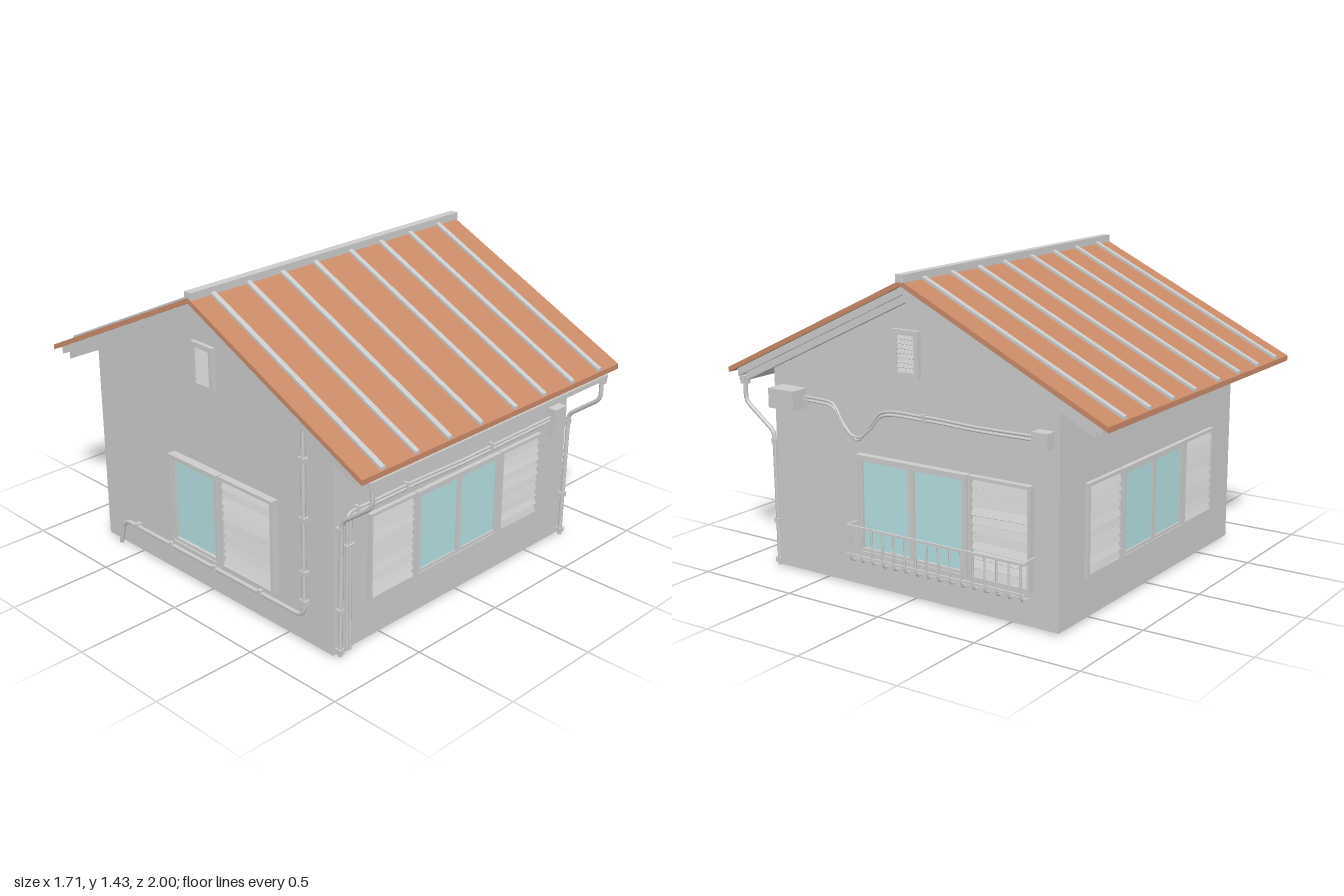
import * as THREE from 'three';

const mat = (color) => new THREE.MeshStandardMaterial({ color, side: THREE.DoubleSide });
const grey = mat(0xcccccc), copper = mat(0xc98a68), glass = mat(0xb4dfe2);
const WALL = { left: -0.785, right: 0.75, front: 0.775, back: -0.745 };
const APEX = 1.41, SLOPE = 0.48;

let seed = 7;
const jitter = (a) => {
  seed = (seed * 16807) % 2147483647;
  return (seed / 2147483647 - 0.5) * 2 * a;
};

function add(parent, name, geo, material = grey) {
  const m = new THREE.Mesh(geo, material);
  m.name = name;
  parent.add(m);
  return m;
}

function box(parent, name, w, h, d, x, y, z, material) {
  const m = add(parent, name, new THREE.BoxGeometry(w, h, d), material);
  m.position.set(x, y, z);
  return m;
}

// Extrudes a (z, y) outline along x
function alongX(points, x0, x1) {
  const shape = new THREE.Shape(points.map(([z, y]) => new THREE.Vector2(-z, y)));
  const geo = new THREE.ExtrudeGeometry(shape, { depth: x1 - x0, bevelEnabled: false });
  return geo.rotateY(Math.PI / 2).translate(x0, 0, 0);
}

// Bent roof layer whose top lies at an offset from the roof plane
function roofLayer(offset, thick, reach, x0, x1) {
  const top = APEX + offset, eave = top - SLOPE * reach;
  return alongX([[reach, eave], [0, top], [-reach, eave],
    [-reach, eave - thick], [0, top - thick], [reach, eave - thick]], x0, x1);
}

// Tube through points: rounded corners, or a free curve when bend is 0
function pipe(parent, name, pts, r, bend = 0.03) {
  const p = pts.map((a) => new THREE.Vector3(...a));
  let path;
  if (bend === 0) path = new THREE.CatmullRomCurve3(p);
  else {
    path = new THREE.CurvePath();
    let from = p[0];
    for (let i = 1; i < p.length - 1; i++) {
      const a = p[i].clone().add(p[i - 1].clone().sub(p[i]).setLength(bend));
      const b = p[i].clone().add(p[i + 1].clone().sub(p[i]).setLength(bend));
      path.add(new THREE.LineCurve3(from, a));
      path.add(new THREE.QuadraticBezierCurve3(a, p[i], b));
      from = b;
    }
    path.add(new THREE.LineCurve3(from, p[p.length - 1]));
  }
  const steps = Math.max(4, Math.ceil(path.getLength() / 0.015));
  return add(parent, name, new THREE.TubeGeometry(path, steps, r, 8, false));
}

// Rectangular frame between u0..u1 and v0..v1, standing out from the wall
function frame(parent, name, u0, u1, v0, v1, t, depth) {
  const rect = (P, a, b, c, d) => new P([[a, c], [b, c], [b, d], [a, d]].map((q) => new THREE.Vector2(...q)));
  const s = rect(THREE.Shape, u0, u1, v0, v1);
  s.holes.push(rect(THREE.Path, u0 + t, u1 - t, v0 + t, v1 - t));
  add(parent, name, new THREE.ExtrudeGeometry(s, { depth, bevelEnabled: false }));
}

function louvers(parent, name, u0, u1, v0, v1, t, count, depth, skew) {
  const g = new THREE.Group();
  g.name = name;
  parent.add(g);
  frame(g, 'louverFrame', u0, u1, v0, v1, t, depth);
  const pitch = (v1 - v0 - 2 * t) / count;
  for (let i = 0; i < count; i++) {
    const s = box(g, 'slat', u1 - u0 - 2 * t, pitch * 1.05, 0.005,
      (u0 + u1) / 2, v0 + t + pitch * (i + 0.5), depth * 0.5);
    s.rotation.set(-0.45 + jitter(skew * 4), 0, jitter(skew));
  }
}

function windowUnit(parent, u0, u1, v0, v1, panes, depth) {
  const g = new THREE.Group();
  g.name = 'window';
  parent.add(g);
  frame(g, 'windowFrame', u0, u1, v0, v1, 0.014, depth);
  const a = u0 + 0.014, w = (u1 - u0 - 0.028) / panes;
  for (let i = 0; i < panes; i++) {
    const l = a + w * i;
    frame(g, 'sash', l, l + w, v0 + 0.014, v1 - 0.014, 0.014, depth * 0.8);
    box(g, 'pane', w - 0.02, v1 - v0 - 0.05, 0.006, l + w / 2, (v0 + v1) / 2, depth * 0.35, glass);
  }
}

// Group whose local +z points out of a wall
function wallSide(root, name, angle, x, z) {
  const g = new THREE.Group();
  g.name = name;
  g.rotation.y = angle;
  g.position.set(x, 0, z);
  root.add(g);
  return g;
}

export function createModel() {
  const root = new THREE.Group();
  root.name = 'house';

  // Walls with gables
  const under = (z) => APEX - 0.075 - SLOPE * Math.abs(z);
  add(root, 'walls', alongX([[WALL.front, 0.012], [WALL.front, under(WALL.front)], [0, under(0)],
    [WALL.back, under(WALL.back)], [WALL.back, 0.012]], WALL.left, WALL.right));

  // Roof: metal skin, two stepped boards, standing seams and ridge cap
  add(root, 'roofSkin', roofLayer(0, 0.024, 1, -0.855, 0.81), copper);
  add(root, 'upperBoard', roofLayer(-0.024, 0.036, 0.96, -0.835, 0.793));
  add(root, 'lowerBoard', roofLayer(-0.06, 0.036, 0.925, -0.82, 0.778));
  for (const x of [-0.733, -0.536, -0.34, -0.144, 0.08, 0.276, 0.475, 0.673])
    add(root, 'roofSeam', roofLayer(0.013, 0.02, 0.995, x - 0.0125, x + 0.0125));
  box(root, 'ridgeCap', 1.67, 0.034, 0.04, -0.02, 1.418, 0);

  // Front and back: double window between two shutters
  const front = wallSide(root, 'frontSide', 0, 0, WALL.front);
  const back = wallSide(root, 'backSide', Math.PI, -0.03, WALL.back);
  for (const side of [front, back]) {
    louvers(side, 'shutter', -0.585, -0.305, 0.195, 0.605, 0.014, 10, 0.02, 0.03);
    windowUnit(side, -0.3, 0.255, 0.195, 0.605, 2, 0.022);
    louvers(side, 'shutter', 0.262, 0.545, 0.195, 0.605, 0.014, 10, 0.02, 0.03);
  }

  // Right and left: window, one shutter and a gable vent
  const right = wallSide(root, 'rightEnd', Math.PI / 2, WALL.right, 0);
  windowUnit(right, -0.283, 0.308, 0.17, 0.622, 2, 0.035);
  louvers(right, 'shutter', 0.315, 0.622, 0.17, 0.622, 0.014, 11, 0.03, 0.03);
  const left = wallSide(root, 'leftEnd', -Math.PI / 2, WALL.left, 0);
  windowUnit(left, -0.22, 0.105, 0.18, 0.622, 1, 0.04);
  louvers(left, 'shutter', 0.112, 0.45, 0.18, 0.622, 0.014, 11, 0.035, 0.03);
  for (const [side, u] of [[right, -0.012], [left, 0.012]])
    louvers(side, 'gableVent', u - 0.068, u + 0.068, 0.99, 1.195, 0.022, 8, 0.02, 0);

  // Railing below the side window
  const rail = new THREE.Group();
  rail.name = 'railing';
  right.add(rail);
  for (const [y, z] of [[0.314, 0.093], [0.182, 0.093], [0.155, 0.06]])
    box(rail, 'rail', 0.935, 0.01, 0.01, 0.172, y, z);
  for (let i = 0; i < 16; i++) {
    const u = -0.272 + i * 0.0595;
    pipe(rail, 'baluster', [[u, 0.314, 0.093], [u, 0.152, 0.093], [u, 0.152, 0.055]], 0.005, 0.025);
  }
  for (const u of [-0.285, 0.63]) box(rail, 'bracket', 0.01, 0.012, 0.1, u, 0.314, 0.05);

  // Gutter along the front eave, with a downpipe at each end
  box(root, 'gutter', 1.55, 0.022, 0.03, -0.01, 0.873, 0.965);
  for (const x of [-0.758, 0.742]) {
    box(root, 'gutterOutlet', 0.03, 0.04, 0.034, x, 0.865, 0.965);
    pipe(root, 'downpipe', [[x, 0.87, 0.965], [x, 0.765, 0.965], [x, 0.64, 0.797], [x, 0.005, 0.79]], 0.01);
    for (const y of [0.6, 0.22, 0.03]) box(root, 'pipeClip', 0.028, 0.022, 0.035, x, y, 0.787);
  }

  // Front cables leading to a junction box
  for (const [x, y] of [[-0.715, 0.66], [-0.697, 0.643]])
    pipe(front, 'frontCable', [[x, 0.012, 0.012], [x, y, 0.012], [-0.3, y + 0.002, 0.012],
      [0, y - 0.006, 0.012], [0.63, y, 0.012]], 0.007);
  for (const x of [-0.66, -0.365, 0.185]) box(front, 'cableClip', 0.012, 0.045, 0.025, x, 0.652, 0.012);
  box(front, 'cableClip', 0.045, 0.012, 0.025, -0.706, 0.51, 0.012);
  box(front, 'junctionBox', 0.08, 0.085, 0.045, 0.65, 0.662, 0.022);
  box(front, 'junctionBoxBase', 0.076, 0.06, 0.03, 0.65, 0.59, 0.015);

  // Right end: meter box, sagging cables and a small box
  box(right, 'meterBox', 0.145, 0.09, 0.095, -0.655, 0.828, 0.047);
  box(right, 'smallBox', 0.075, 0.07, 0.055, 0.682, 0.826, 0.027);
  for (const d of [0, 0.016])
    pipe(right, 'saggingCable', [[-0.59, 0.838 - d, 0.02], [-0.5, 0.836 - d, 0.015], [-0.42, 0.825 - d, 0.015],
      [-0.35, 0.735 - d * 0.7, 0.02], [-0.275, 0.7 + d * 0.8 - 0.016, 0.025], [-0.21, 0.755 - d, 0.02], [-0.15, 0.82 - d, 0.015],
      [0.08, 0.834 - d, 0.012], [0.35, 0.828 - d, 0.012], [0.66, 0.832 - d, 0.015]], 0.006, 0);
  for (const u of [-0.57, 0.08, 0.63]) box(right, 'cableClip', 0.012, 0.04, 0.025, u, 0.825, 0.013);

  // Left end: conduit down the wall and along its foot
  pipe(left, 'conduit', [[0.62, 1.02, 0.015], [0.62, 0.14, 0.015], [-0.6, 0.14, 0.015], [-0.64, 0.005, 0.015]], 0.01, 0.05);
  for (const y of [0.87, 0.6, 0.35, 0.21]) box(left, 'conduitClip', 0.035, 0.02, 0.028, 0.62, y, 0.013);
  for (const u of [0.35, 0.05, -0.25, -0.5]) box(left, 'conduitClip', 0.02, 0.035, 0.028, u, 0.14, 0.013);

  return root;
}
